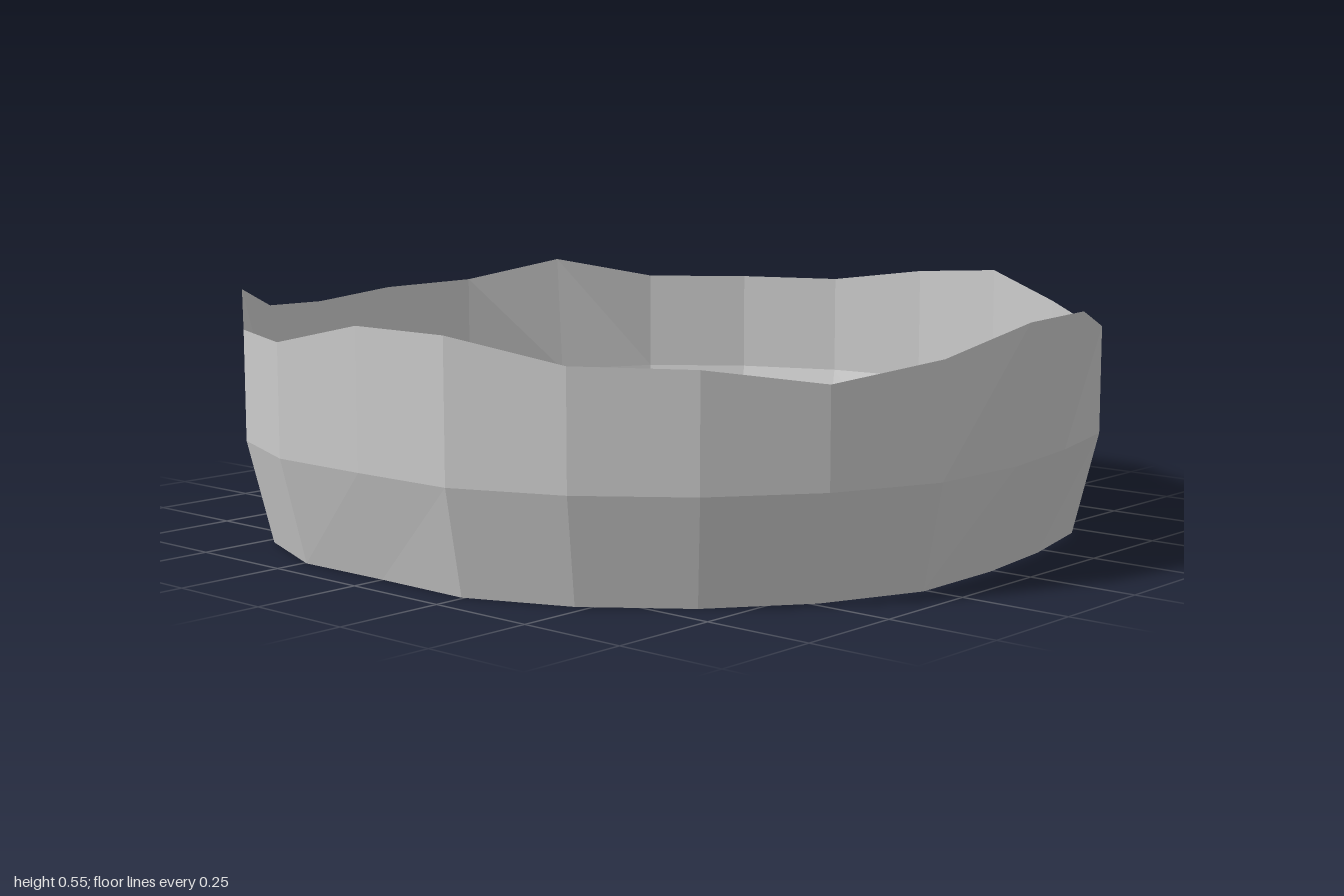
import * as THREE from 'three';

const SIDES = 24;

// Rim height every 15 degrees, from the front (+z) round through +x
const rimHeights = [
  0.54, 0.54, 0.48, 0.455, 0.485, 0.54, 0.52, 0.485,
  0.485, 0.485, 0.535, 0.49, 0.485, 0.47, 0.485, 0.55,
  0.485, 0.485, 0.54, 0.54, 0.49, 0.485, 0.45, 0.485,
];

// Radial dents per ring, keyed by side number
const bottomDents = { 0: 0.035, 1: 0.035, 10: 0.05, 15: 0.05, 18: 0.035 };
const middleDents = { 0: 0.027, 1: 0.035, 10: 0.045, 15: 0.045, 18: 0.03 };
const rimDents = { 18: 0.03 };

// Rings from the narrow foot up to the wavy rim
const rings = [
  { radius: 0.942, dents: bottomDents, height: () => 0 },
  { radius: 0.998, dents: middleDents, height: () => 0.235 },
  { radius: 0.998, dents: rimDents, height: (i) => rimHeights[i] },
];

function bandGeometry() {
  const positions = [];
  const index = [];
  for (const { radius, dents, height } of rings) {
    for (let i = 0; i < SIDES; i++) {
      const a = (i / SIDES) * Math.PI * 2;
      const r = radius - (dents[i] || 0);
      positions.push(-0.016 + r * Math.sin(a), height(i), r * Math.cos(a));
    }
  }
  for (let k = 0; k < rings.length - 1; k++) {
    for (let i = 0; i < SIDES; i++) {
      const j = (i + 1) % SIDES;
      const a = k * SIDES + i, b = k * SIDES + j;
      const c = b + SIDES, d = a + SIDES;
      index.push(a, b, c, a, c, d);
    }
  }
  const geometry = new THREE.BufferGeometry();
  geometry.setAttribute('position', new THREE.Float32BufferAttribute(positions, 3));
  geometry.setIndex(index);
  geometry.computeVertexNormals();
  return geometry;
}

export function createModel() {
  const group = new THREE.Group();
  // Thin open band with a wavy upper rim
  const band = new THREE.Mesh(
    bandGeometry(),
    new THREE.MeshStandardMaterial({ color: 0xcccccc, flatShading: true, side: THREE.DoubleSide })
  );
  band.name = 'band';
  group.add(band);
  return group;
}
